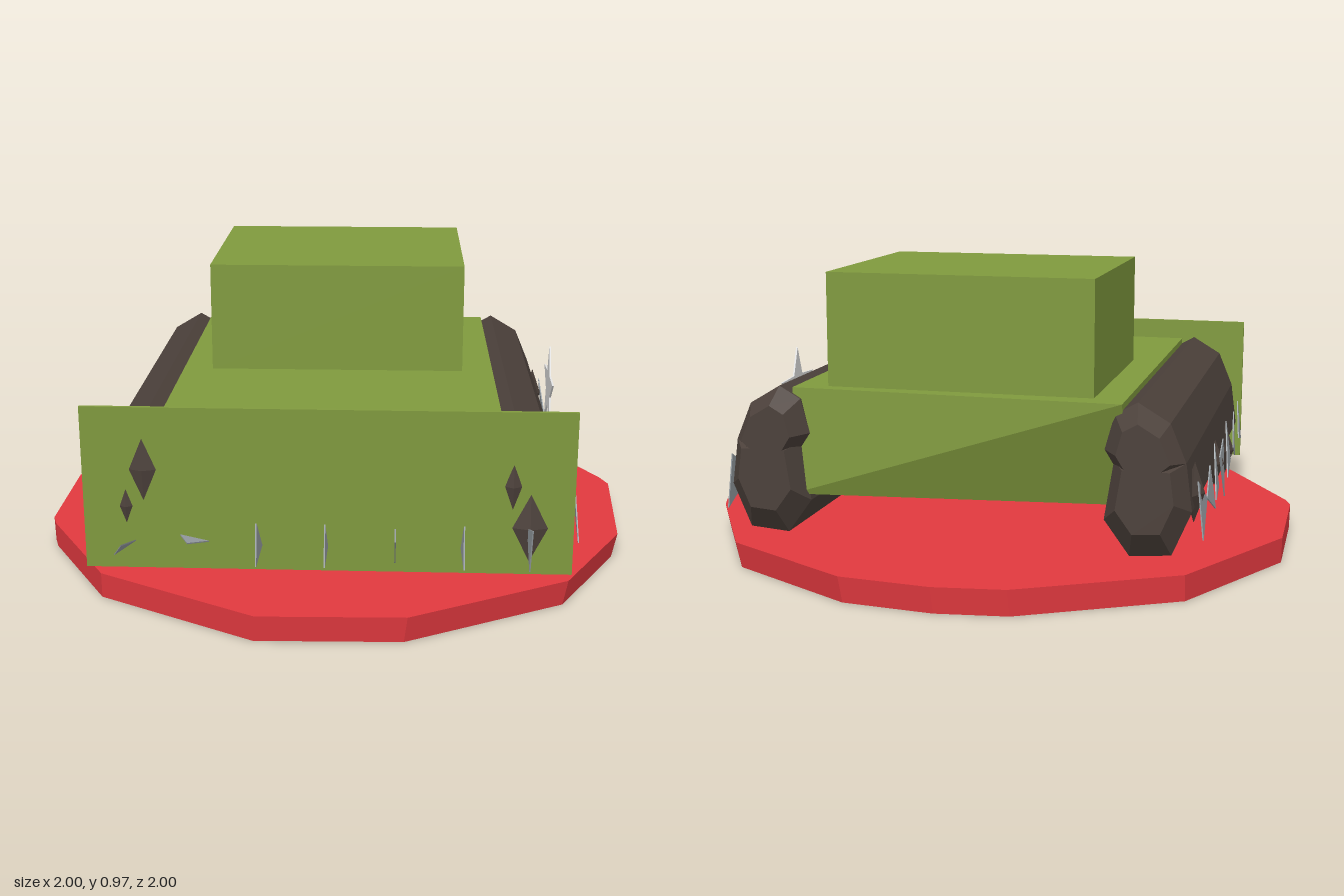
import * as THREE from 'three';
import { ConvexGeometry } from 'three/addons/geometries/ConvexGeometry.js';

const V = (x, y, z) => new THREE.Vector3(x, y, z);
const paint = (name, color) => {
  const m = new THREE.MeshStandardMaterial({ color, flatShading: true });
  m.name = name;
  return m;
};

export function createModel() {
  const model = new THREE.Group();
  const green = paint('olive green', 0x809a3e);
  const red = paint('base red', 0xe2393f);
  const brown = paint('track brown', 0x4c413b);
  const steel = paint('spike steel', 0x9ea5aa);
  const silver = paint('star silver', 0xe4e4e4);

  const add = (name, geometry, material) => {
    const mesh = new THREE.Mesh(geometry, material);
    mesh.name = name;
    model.add(mesh);
    return mesh;
  };
  // Box given by its two opposite corners
  const box = (name, [x0, y0, z0], [x1, y1, z1], material) => {
    const g = new THREE.BoxGeometry(x1 - x0, y1 - y0, z1 - z0);
    g.translate((x0 + x1) / 2, (y0 + y1) / 2, (z0 + z1) / 2);
    return add(name, g, material);
  };
  // Thin triangular plate, thickened along one axis
  const plate = (name, corners, axis) => {
    const points = [];
    for (const c of corners) {
      for (const s of [-0.002, 0.002]) {
        points.push(V(...c).addScaledVector(axis, s));
      }
    }
    return add(name, new ConvexGeometry(points), steel);
  };
  // Pointed dark lump
  const gem = (name, x, y, z, rx, ry, rz) => {
    const mesh = add(name, new THREE.OctahedronGeometry(1), brown);
    mesh.scale.set(rx, ry, rz);
    mesh.position.set(x, y, z);
  };

  // Uneven polygonal base, slightly narrower underneath
  const outline = [
    [-0.25, -0.97], [-0.02, -1], [0.28, -0.97], [0.73, -0.71], [0.97, -0.27],
    [0.995, -0.2], [0.96, 0.3], [0.75, 0.7], [0.24, 0.99], [-0.22, 1],
    [-0.74, 0.7], [-0.98, 0.28], [-1, 0.22], [-1, -0.22], [-0.74, -0.7],
  ];
  const baseShape = new THREE.Shape(outline.map(([x, z]) => new THREE.Vector2(x, z)));
  const base = new THREE.ExtrudeGeometry(baseShape, { depth: 0.085, bevelEnabled: false });
  base.rotateX(Math.PI / 2).translate(0, 0.085, 0);
  const bp = base.attributes.position;
  for (let i = 0; i < bp.count; i++) {
    if (bp.getY(i) < 0.04) bp.setXYZ(i, bp.getX(i) * 0.99 - 0.008, 0, bp.getZ(i) * 0.99);
  }
  add('base', base, red);

  // Hull with a twisted, undercut rear
  const hull = box('hull', [-0.54, 0.26, -0.7], [0.53, 0.605, 0.7], green);
  const hp = hull.geometry.attributes.position;
  for (let i = 0; i < hp.count; i++) {
    const left = hp.getX(i) > 0, top = hp.getY(i) > 0.4;
    if (hp.getZ(i) < 0) hp.setZ(i, left ? (top ? -0.68 : -0.7) : (top ? -0.71 : -0.58));
    else hp.setZ(i, left ? 0.71 : 0.68);
  }

  box('turret', [-0.44, 0.6, -0.635], [0.425, 0.972, 0.112], green);

  // Thin front plate, leaning a little
  const front = add('frontPlate', new THREE.BoxGeometry(1.52, 0.53, 0.012), green);
  front.position.set(-0.01, 0.4, 0.762);
  front.rotation.set(0.02, -0.005, 0);

  // Faceted tracks: an upper and a lower beam, each tapered at both ends
  const beams = {
    Upper: [[0.57, 0.61], [0.67, 0.55], [0.72, 0.43], [0.66, 0.38], [0.52, 0.38], [0.47, 0.46], [0.5, 0.57]],
    Lower: [[0.72, 0.43], [0.74, 0.28], [0.68, 0.14], [0.55, 0.13], [0.47, 0.24], [0.5, 0.43]],
  };
  const stations = [[-0.755, 0.66], [-0.69, 1], [0.69, 1], [0.755, 0.66]];
  for (const side of [1, -1]) {
    const sideName = side > 0 ? 'left' : 'right';
    const shift = side < 0 ? 0.015 : 0;
    for (const [level, section] of Object.entries(beams)) {
      const cy = level === 'Upper' ? 0.45 : 0.38;
      const points = [];
      for (const [z, k] of stations) {
        for (const [x, y] of section) {
          points.push(V(side * (0.6 + shift + (x - 0.6) * k), cy + (y - cy) * k, z));
        }
      }
      add(`${sideName}${level}Track`, new ConvexGeometry(points), brown);
    }
    for (const [y, z, r] of [[0.32, -0.6, 0.06], [0.28, -0.02, 0.05], [0.25, 0.33, 0.06]]) {
      gem('trackLump', side * (0.735 + shift), y, z, 0.033, r * 1.6, r);
    }
  }

  // Dark lumps breaking through the front plate
  gem('frontLump', -0.58, 0.465, 0.772, 0.042, 0.1, 0.015);
  gem('frontLump', -0.635, 0.345, 0.772, 0.02, 0.055, 0.012);
  gem('frontLump', 0.56, 0.425, 0.772, 0.026, 0.075, 0.014);
  gem('frontLump', 0.615, 0.29, 0.772, 0.055, 0.11, 0.018);

  // Side spikes: corners as [z, y]
  const sideSpikes = [
    [[0.63, 0.375], [0.7, 0.215], [0.49, 0.26]],
    [[0.47, 0.365], [0.46, 0.2], [0.28, 0.27]],
    [[0.19, 0.385], [0.29, 0.225], [0.1, 0.2]],
    [[0.1, 0.34], [-0.1, 0.32], [-0.005, 0.16]],
    [[-0.19, 0.385], [-0.11, 0.22], [-0.28, 0.215]],
    [[-0.31, 0.34], [-0.47, 0.27], [-0.295, 0.19]],
    [[-0.64, 0.365], [-0.47, 0.27], [-0.64, 0.18]],
  ];
  for (const side of [1, -1]) {
    for (const spike of sideSpikes) {
      plate('sideSpike', spike.map(([z, y], i) => [side * (0.765 + 0.01 * i), y, z]), V(1, 0, 0));
    }
  }

  // Front spikes: five upright, given as [y, z] corners, and two lying flat
  const pointingIn = [[0.36, 0.94], [0.235, 0.975], [0.22, 0.77]];
  const pointingOut = [[0.31, 0.95], [0.28, 0.77], [0.16, 0.76]];
  const pointingDown = [[0.34, 0.92], [0.28, 0.75], [0.185, 0.865]];
  const uprights = [
    [-0.215, pointingIn], [-0.01, pointingIn], [0.2, pointingOut],
    [0.405, pointingIn], [0.61, pointingDown],
  ];
  for (const [x, corners] of uprights) {
    plate('frontSpike', corners.map(([y, z]) => [x, y, z]), V(1, 0, 0));
  }
  plate('frontSpike', [[-0.47, 0.25, 0.77], [-0.38, 0.23, 0.77], [-0.42, 0.3, 0.96]], V(0, 1, 0));
  plate('frontSpike', [[-0.68, 0.18, 0.77], [-0.61, 0.23, 0.77], [-0.62, 0.29, 0.96]], V(0, 1, 0));

  // Five-pointed star on one side
  const starShape = new THREE.Shape();
  for (let i = 0; i < 10; i++) {
    const r = i % 2 ? 0.065 : 0.152;
    const a = Math.PI / 2 + (i * Math.PI) / 5;
    starShape[i ? 'lineTo' : 'moveTo'](r * Math.cos(a), r * Math.sin(a));
  }
  const star = new THREE.ExtrudeGeometry(starShape, { depth: 0.006, bevelEnabled: false });
  star.rotateY(Math.PI / 2).translate(0.745, 0.487, -0.105);
  add('star', star, silver);

  return model;
}
